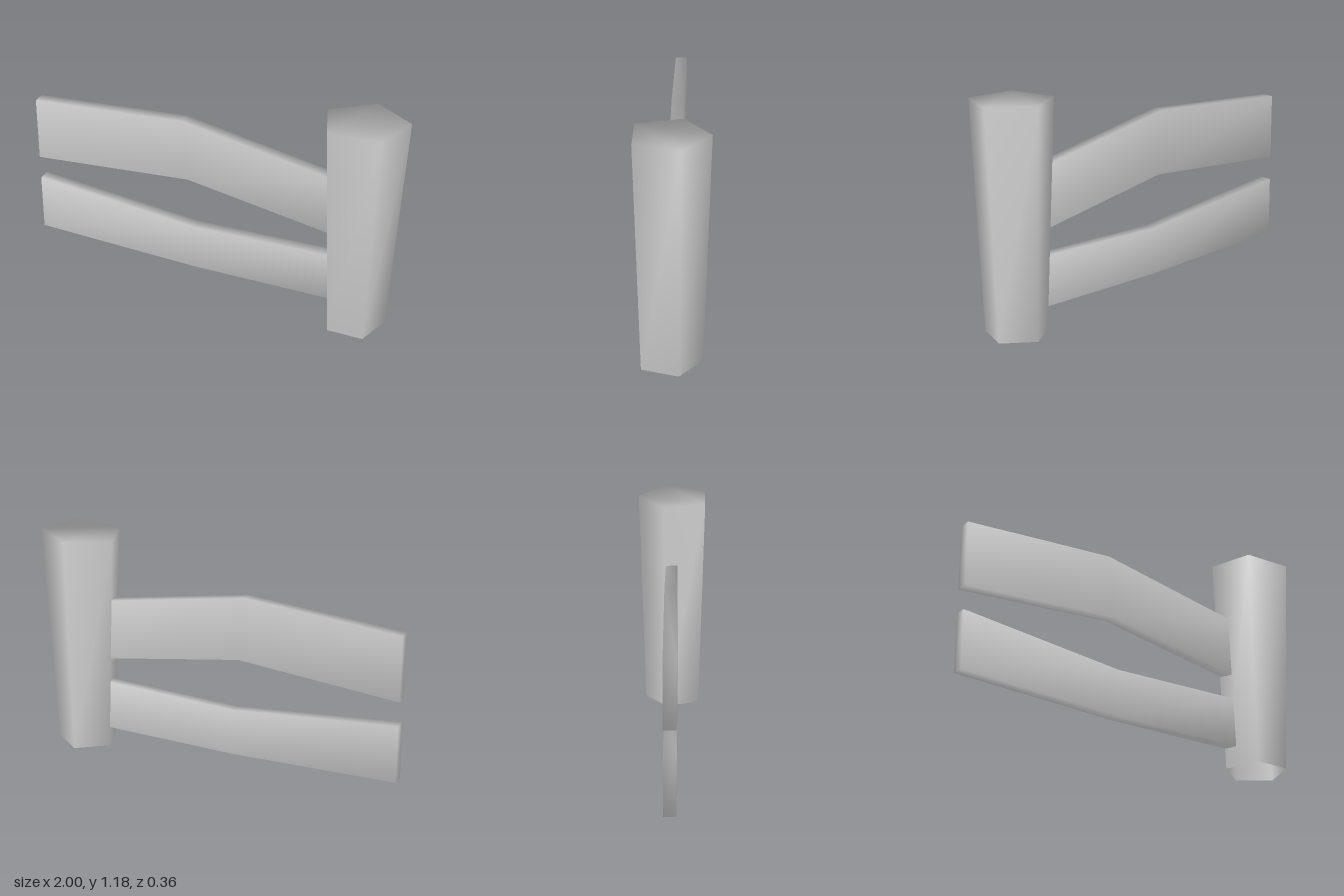
import * as THREE from 'three';

// Smooth-shaded loft through rings of [x, y, z] points (wound so sides face outward).
function loft(rings, capStart, capEnd) {
  const n = rings[0].length;
  const index = [];
  for (let r = 0; r < rings.length - 1; r++) {
    for (let i = 0; i < n; i++) {
      const a = r * n + i, b = r * n + (i + 1) % n;
      index.push(a, b, b + n, a, b + n, a + n);
    }
  }
  const last = (rings.length - 1) * n;
  for (let i = 1; i < n - 1; i++) {
    if (capStart) index.push(0, i + 1, i);
    if (capEnd) index.push(last, last + i, last + i + 1);
  }
  const geo = new THREE.BufferGeometry();
  geo.setAttribute('position', new THREE.Float32BufferAttribute(rings.flat(2), 3));
  geo.setIndex(index);
  geo.computeVertexNormals();
  return geo;
}

export function createModel() {
  const group = new THREE.Group();
  const grey = new THREE.MeshStandardMaterial({ color: 0xcccccc, side: THREE.DoubleSide });
  grey.name = 'plain grey';

  const add = (name, geo) => {
    const mesh = new THREE.Mesh(geo, grey);
    mesh.name = name;
    group.add(mesh);
  };

  // Five-sided post, widening upward, open underneath, with a slightly tilted top
  const foot = [[0.69, 0, 0.15], [0.88, 0, 0.15], [0.94, 0, -0.033], [0.785, 0, -0.147], [0.63, 0, -0.033]];
  const head = [[0.652, 1.173, 0.18], [0.918, 1.181, 0.18], [1, 1.184, -0.045], [0.787, 1.177, -0.182], [0.577, 1.171, -0.045]];
  add('post', loft([foot, head], false, true));

  // Bent flat rails; each station gives top x, top y, bottom x, bottom y
  const t = 0.032;
  const rail = (stations) => loft(stations.map(([tx, ty, bx, by]) => [
    [tx, ty, t], [tx, ty, -t], [bx, by, -t], [bx, by, t],
  ]), true, true);

  add('upperRail', rail([
    [-1, 0.912, -1, 0.567],
    [-0.165, 0.975, -0.135, 0.637],
    [0.67, 0.826, 0.65, 0.507],
  ]));
  add('lowerRail', rail([
    [-1, 0.438, -1, 0.13],
    [-0.1, 0.352, -0.1, 0.102],
    [0.67, 0.376, 0.67, 0.11],
  ]));

  return group;
}
